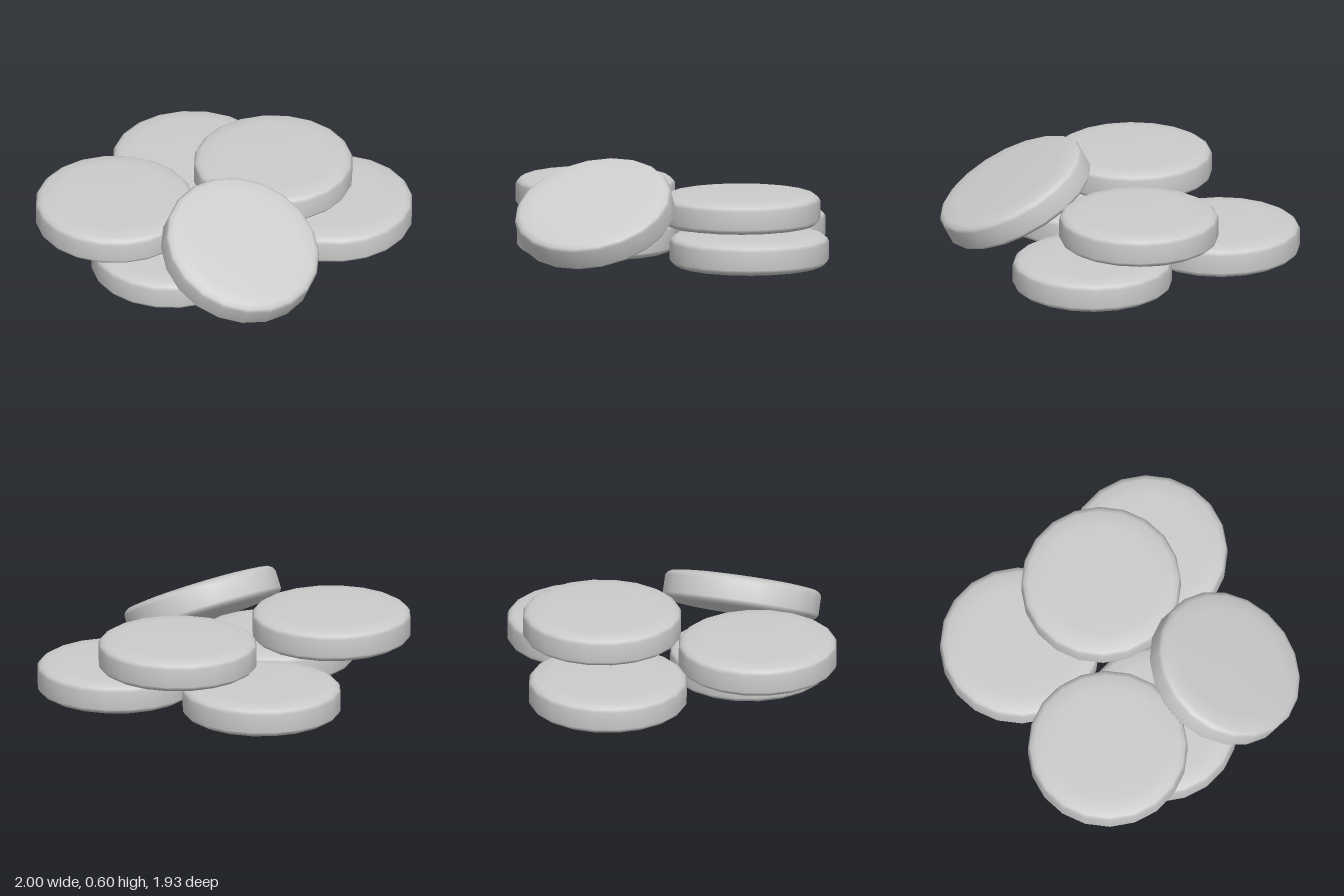
import * as THREE from 'three';

export function createModel() {
  const group = new THREE.Group();
  const material = new THREE.MeshStandardMaterial({ color: 0xcccccc });

  // Rounded disc: one half of the rim profile, mirrored top to bottom
  const upper = [[0.49, 0.056], [0.478, 0.075], [0.45, 0.092], [0.36, 0.102], [0, 0.103]];
  const profile = [
    ...upper.map(([r, y]) => new THREE.Vector2(r, -y)).reverse(),
    ...upper.map(([r, y]) => new THREE.Vector2(r, y)),
  ];
  const disc = new THREE.LatheGeometry(profile, 20);

  const addDisc = (name, x, y, z, normal = [0, 1, 0]) => {
    const mesh = new THREE.Mesh(disc, material);
    mesh.name = name;
    mesh.position.set(x, y, z);
    mesh.quaternion.setFromUnitVectors(
      new THREE.Vector3(0, 1, 0), new THREE.Vector3(...normal).normalize());
    group.add(mesh);
  };

  // Bottom layer
  addDisc('bottomDiscBackRight', -0.48, 0.103, -0.475);
  addDisc('bottomDiscBackLeft', 0.51, 0.103, -0.475);
  addDisc('bottomDiscFront', -0.12, 0.103, 0.45);
  // Upper layer
  addDisc('upperDiscFront', -0.51, 0.31, 0.45);
  addDisc('upperDiscBack', 0.115, 0.293, -0.43);
  // Disc leaning against the pile
  addDisc('leaningDisc', 0.38, 0.31, 0.472, [0.42, 0.885, 0.2]);

  return group;
}
